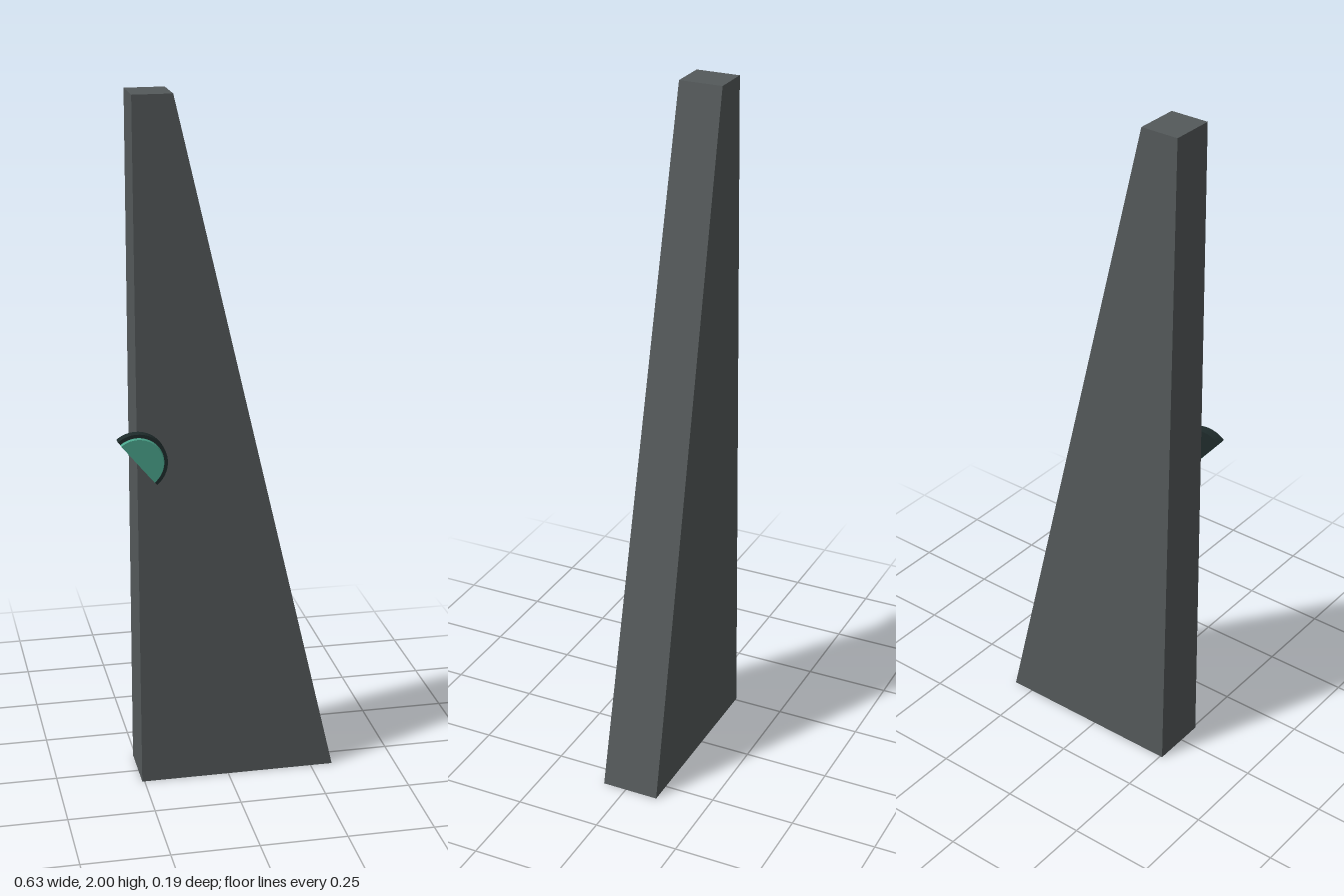
import * as THREE from 'three';

const mat = (name, color, extra = {}) => {
  const m = new THREE.MeshStandardMaterial({ color, ...extra });
  m.name = name;
  return m;
};

// Half disc, flat on the diameter side, running from z0 to z1 with an optional taper
function halfDisc(name, r0, r1, z0, z1, material) {
  const start = THREE.MathUtils.degToRad(-50.5);
  const shape = new THREE.Shape();
  shape.absarc(0, 0, 1, start, start + Math.PI, false);
  shape.closePath();
  const geo = new THREE.ExtrudeGeometry(shape, { depth: 1, bevelEnabled: false, curveSegments: 16 });
  const p = geo.attributes.position;
  for (let i = 0; i < p.count; i++) {
    const t = p.getZ(i), r = r0 + (r1 - r0) * t;
    p.setXYZ(i, p.getX(i) * r, p.getY(i) * r, z0 + (z1 - z0) * t);
  }
  geo.computeVertexNormals();
  const mesh = new THREE.Mesh(geo, material);
  mesh.name = name;
  mesh.position.set(-0.26, 0.99, 0);
  return mesh;
}

export function createModel() {
  const group = new THREE.Group();
  group.name = 'taperedFin';
  const slabGrey = mat('slab grey', 0x54595a, { flatShading: true });
  const rimDark = mat('dark rim', 0x1e2b2b);
  const teal = mat('teal lens', 0x4aa58c);

  // Fin: a box with its top drawn in towards the upright edge
  const geo = new THREE.BoxGeometry(1, 1, 1);
  const p = geo.attributes.position;
  for (let i = 0; i < p.count; i++) {
    const top = p.getY(i) > 0, right = p.getX(i) > 0, front = p.getZ(i) > 0;
    p.setXYZ(i,
      right ? (top ? -0.145 : 0.315) : -0.257,
      top ? 2 : 0,
      front ? (top ? 0.05 : 0.071) : (top ? -0.078 : -0.099));
  }
  geo.computeVertexNormals();
  const fin = new THREE.Mesh(geo, slabGrey);
  fin.name = 'fin';
  group.add(fin);

  // Half-round lamp on the front of the upright edge
  group.add(halfDisc('lampHousing', 0.085, 0.085, 0.061, 0.088, rimDark));
  group.add(halfDisc('lampLens', 0.075, 0.072, 0.088, 0.096, teal));
  return group;
}
